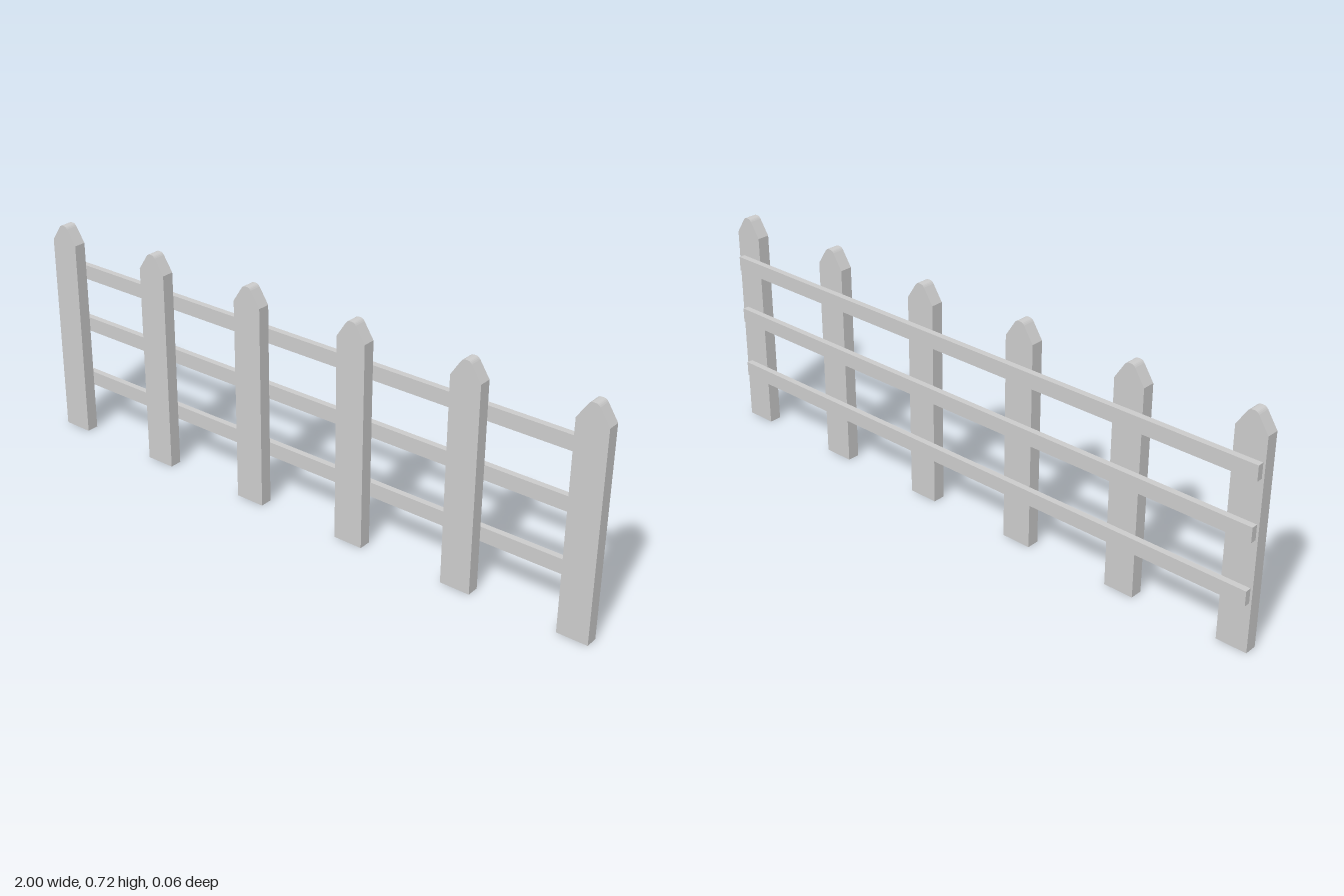
import * as THREE from 'three';

const material = new THREE.MeshStandardMaterial({ color: 0xcccccc, flatShading: true });

// Upright board with sloped shoulders and a small blunted tip
function picketGeometry(halfWidth, shoulder, top, depth) {
  const shape = new THREE.Shape();
  shape.moveTo(-halfWidth, 0);
  shape.lineTo(halfWidth, 0);
  shape.lineTo(halfWidth, shoulder);
  shape.lineTo(0.017, top - 0.008);
  shape.quadraticCurveTo(0.011, top, 0.004, top);
  shape.lineTo(-0.004, top);
  shape.quadraticCurveTo(-0.011, top, -0.017, top - 0.008);
  shape.lineTo(-halfWidth, shoulder);
  shape.closePath();
  return new THREE.ExtrudeGeometry(shape, { depth, bevelEnabled: false, curveSegments: 4 });
}

export function createModel() {
  const fence = new THREE.Group();
  fence.name = 'picketFence';

  // Six evenly spaced pickets
  const picket = picketGeometry(0.049, 0.66, 0.717, 0.04);
  const count = 6;
  for (let i = 0; i < count; i++) {
    const mesh = new THREE.Mesh(picket, material);
    mesh.name = `picket${i + 1}`;
    mesh.position.set(-0.951 + (i * 1.902) / (count - 1), 0, -0.01);
    fence.add(mesh);
  }

  // Three rails across the back of the pickets
  const rail = new THREE.BoxGeometry(1.972, 0.047, 0.02);
  const heights = { lowerRail: 0.182, middleRail: 0.378, upperRail: 0.56 };
  for (const [name, y] of Object.entries(heights)) {
    const mesh = new THREE.Mesh(rail, material);
    mesh.name = name;
    mesh.position.set(-0.007, y, -0.02);
    fence.add(mesh);
  }

  return fence;
}
